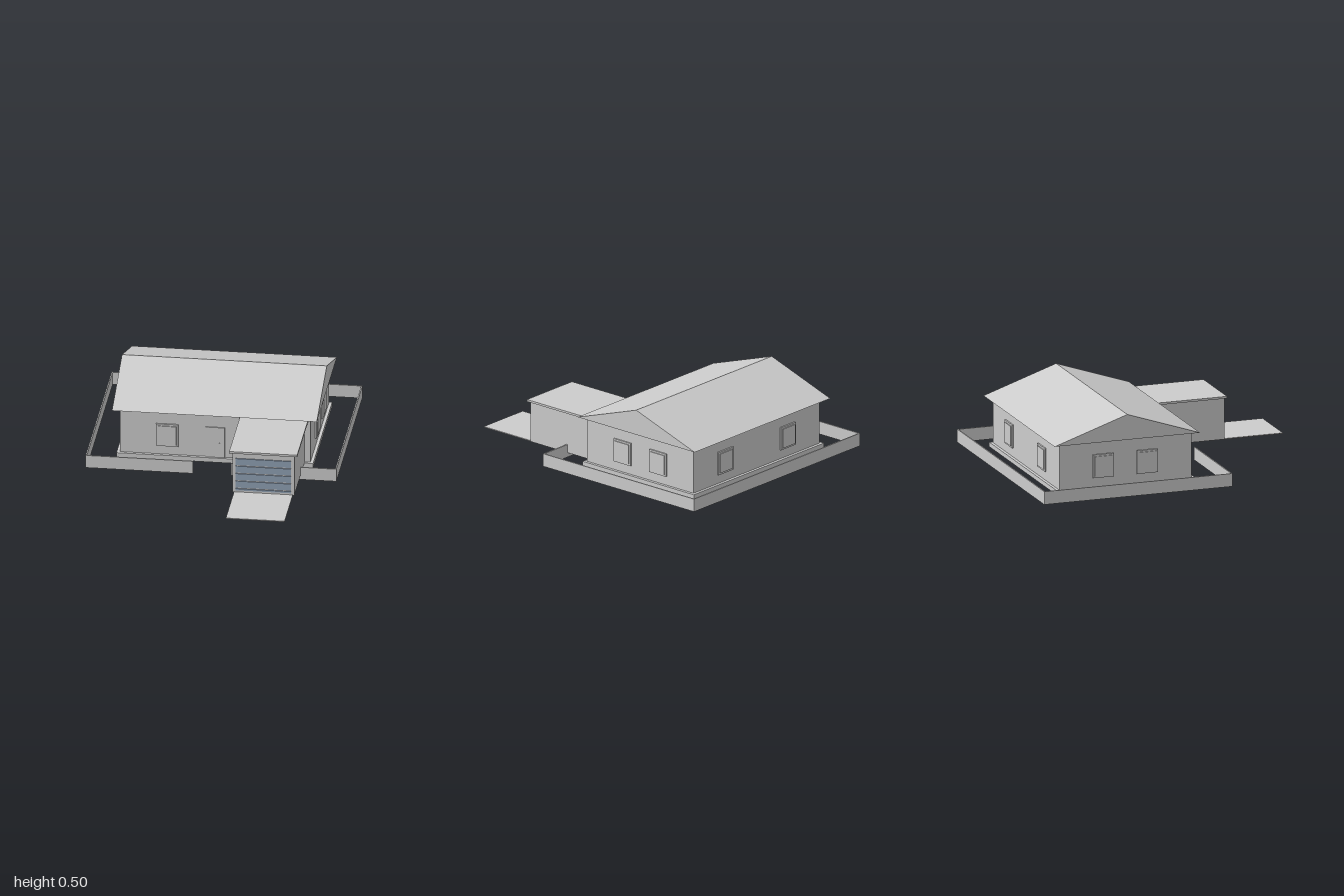
import * as THREE from 'three';

export function createModel() {
  const house = new THREE.Group();
  house.name = 'house';

  const grey = new THREE.MeshStandardMaterial({ color: 0xcccccc });
  grey.name = 'pale grey';
  const blue = new THREE.MeshStandardMaterial({ color: 0x8fa0b4 });
  blue.name = 'slate blue';

  // Box given by its lower and upper limits on each axis
  function block(name, [x0, x1], [y0, y1], [z0, z1], material = grey, parent = house) {
    const mesh = new THREE.Mesh(new THREE.BoxGeometry(x1 - x0, y1 - y0, z1 - z0), material);
    mesh.position.set((x0 + x1) / 2, (y0 + y1) / 2, (z0 + z1) / 2);
    mesh.name = name;
    parent.add(mesh);
    return mesh;
  }

  // Main building
  block('plinth', [-0.637, 0.637], [0, 0.03], [-0.845, 0.1]);
  block('walls', [-0.617, 0.617], [0.03, 0.336], [-0.825, 0.08]);

  // Solid gable roof, extruded along x
  const gable = new THREE.Shape([
    new THREE.Vector2(-0.12, 0.335),
    new THREE.Vector2(0.875, 0.335),
    new THREE.Vector2(0.3775, 0.503),
  ]);
  const roofGeometry = new THREE.ExtrudeGeometry(gable, { depth: 1.326, bevelEnabled: false });
  roofGeometry.rotateY(Math.PI / 2);
  roofGeometry.translate(-0.663, 0, 0);
  const roof = new THREE.Mesh(roofGeometry, grey);
  roof.name = 'roof';
  house.add(roof);

  // Windows: a frame plate with a raised pane, facing +z before turning
  function addWindow(name, x, z, turn) {
    const group = new THREE.Group();
    group.name = name;
    block('frame', [-0.072, 0.072], [0.09, 0.245], [-0.005, 0.01], grey, group);
    block('pane', [-0.06, 0.06], [0.102, 0.233], [0.008, 0.016], grey, group);
    group.position.set(x, 0, z);
    group.rotation.y = turn;
    house.add(group);
  }
  addWindow('frontWindow', -0.31, 0.08, 0);
  for (const x of [-0.3, 0.31]) addWindow('backWindow', x, -0.825, Math.PI);
  for (const side of [-1, 1]) {
    for (const z of [-0.225, -0.527]) addWindow('sideWindow', side * 0.617, z, side * Math.PI / 2);
  }

  // Front door and knob
  block('door', [-0.063, 0.063], [0.03, 0.24], [0.075, 0.087]);
  block('doorKnob', [0.026, 0.032], [0.12, 0.132], [0.086, 0.094]);

  // Garage with flat roof and slatted door
  block('garage', [0.18, 0.58], [0.03, 0.306], [0.07, 0.596]);
  block('garageRoof', [0.16, 0.6], [0.306, 0.32], [0.08, 0.607]);
  for (let i = 0; i < 5; i++) {
    const top = 0.27 - i * 0.053;
    block('garageDoorSlat', [0.2, 0.56], [Math.max(top - 0.045, 0.046), top], [0.594, 0.603], blue);
  }
  block('driveway', [0.19, 0.57], [0.026, 0.032], [0.596, 1]);

  // Low garden wall with an entrance gap at the front
  const h = [0, 0.086], t = 0.008;
  block('gardenWallBack', [-0.812, 0.812], h, [-1, -1 + t]);
  for (const x of [-0.812, 0.812 - t]) block('gardenWallSide', [x, x + t], h, [-1 + t, 0.287 - t]);
  block('gardenWallFrontRight', [-0.812, -0.117], h, [0.287 - t, 0.287]);
  block('gardenWallFrontLeft', [0.13, 0.812], h, [0.287 - t, 0.287]);

  return house;
}
